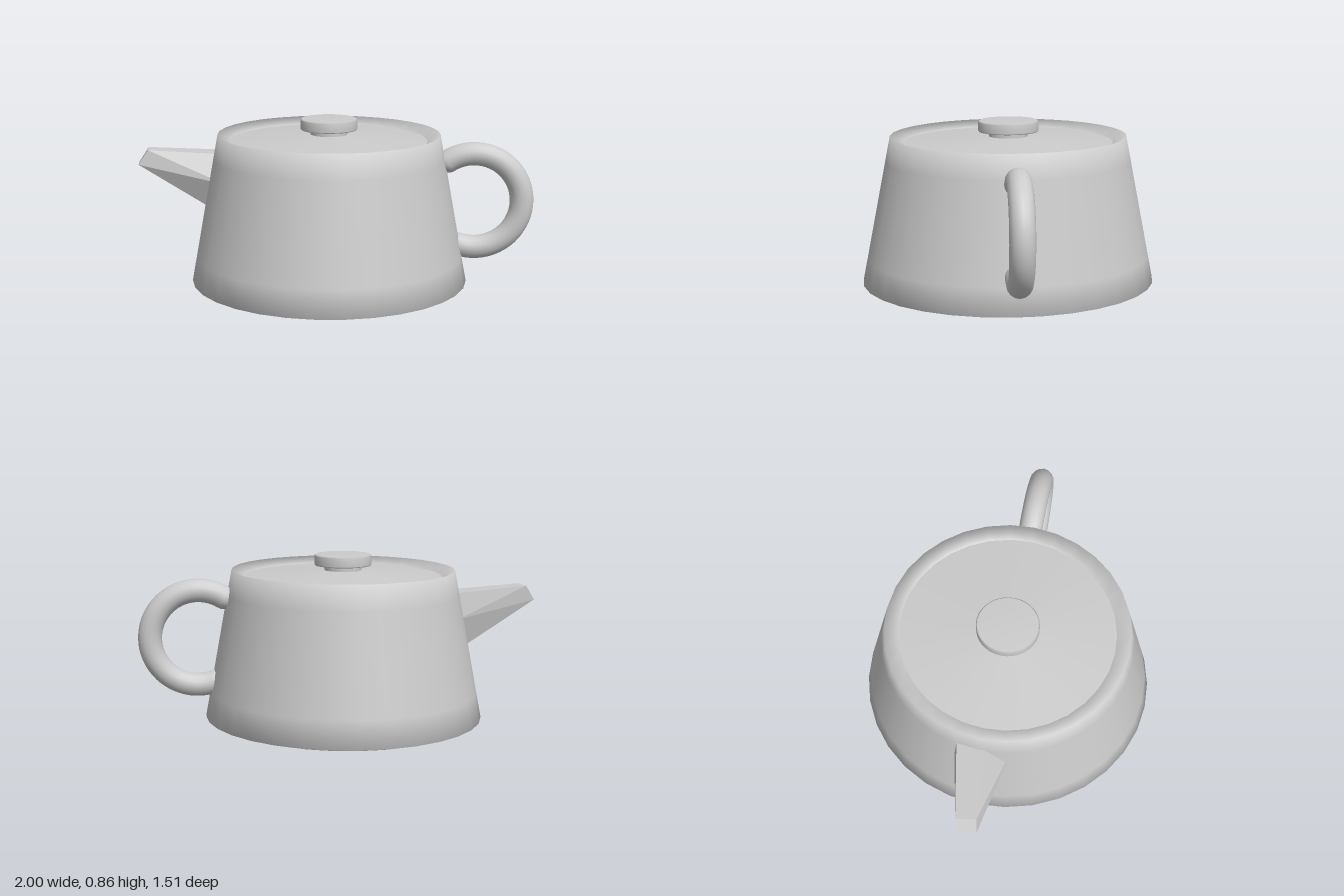
import * as THREE from 'three';
import { ConvexGeometry } from 'three/addons/geometries/ConvexGeometry.js';

const material = new THREE.MeshStandardMaterial({ color: 0xcccccc });

function part(name, geometry) {
  const mesh = new THREE.Mesh(geometry, material);
  mesh.name = name;
  return mesh;
}

function lathe(profile, segments) {
  return new THREE.LatheGeometry(profile.map(([r, y]) => new THREE.Vector2(r, y)), segments);
}

export function createModel() {
  const model = new THREE.Group();
  model.name = 'teapot';

  // Slightly oval round parts: body, lid and knob
  const vessel = new THREE.Group();
  vessel.name = 'vessel';
  vessel.position.x = -0.03;
  vessel.scale.x = 0.934;
  vessel.add(
    part('body', lathe([[0, 0], [0.67, 0], [0.755, 0.025], [0.728, 0.16], [0.63, 0.655], [0.605, 0.78], [0.535, 0.745]], 32)),
    part('lid', lathe([[0.54, 0.745], [0.1, 0.775], [0, 0.78]], 32)),
    part('knobNeck', new THREE.CylinderGeometry(0.1, 0.1, 0.06, 32).translate(0, 0.785, 0)),
    part('knob', lathe([[0, 0.8], [0.152, 0.8], [0.155, 0.805], [0.155, 0.848], [0.148, 0.855], [0, 0.855]], 32)),
  );
  model.add(vessel);

  // Handle: open ring swung a little towards the front
  const start = -1.9, end = 2.15, radius = 0.242, tube = 0.06;
  const handle = new THREE.Group();
  handle.name = 'handle';
  handle.add(part('handleRing', new THREE.TorusGeometry(radius, tube, 16, 40, end - start).rotateZ(start)));
  for (const angle of [start, end]) {
    const cap = part('handleEnd', new THREE.SphereGeometry(tube, 16, 10));
    cap.scale.setScalar(0.99);
    cap.position.set(radius * Math.cos(angle), radius * Math.sin(angle), 0);
    handle.add(cap);
  }
  handle.position.set(0.7, 0.44, 0.122);
  handle.rotation.y = -0.165;
  model.add(handle);

  // Spout: faceted wedge from a wide six-sided root to a small square tip
  const spout = [
    [-0.54, 0.662, -0.235], [-0.54, 0.662, -0.09],
    [-0.56, 0.53, -0.25], [-0.56, 0.53, 0.035],
    [-0.58, 0.36, -0.2], [-0.58, 0.36, -0.04],
    [-0.95, 0.685, -0.225], [-0.95, 0.685, -0.125],
    [-1, 0.61, -0.215], [-1, 0.61, -0.125],
  ].map((p) => new THREE.Vector3(...p));
  model.add(part('spout', new ConvexGeometry(spout)));

  return model;
}
